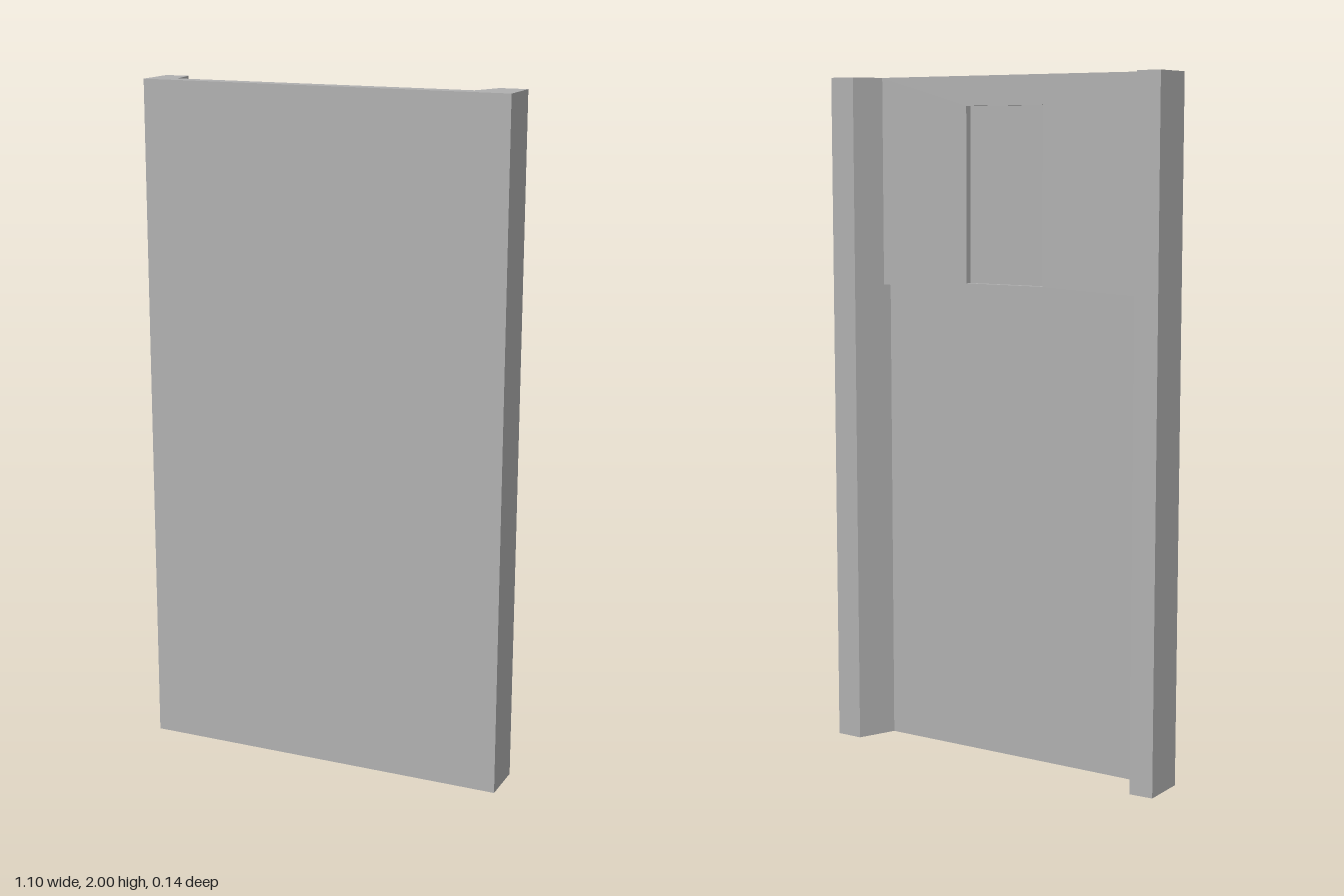
import * as THREE from 'three';

const HEIGHT = 2;
const STEP_Y = 1.39; // lower edge of the thicker upper panel

const polygon = (points) => new THREE.Shape(points.map(([x, y]) => new THREE.Vector2(x, y)));

export function createModel() {
  const group = new THREE.Group();
  const grey = new THREE.MeshStandardMaterial({ color: 0xb0b0b0 });
  grey.name = 'concrete grey';

  const add = (name, geometry) => {
    const mesh = new THREE.Mesh(geometry, grey);
    mesh.name = name;
    group.add(mesh);
  };

  // Full-height slab with two unequal edge ribs, extruded upward from its plan [x, -z]
  const plan = polygon([
    [-0.55, -0.068], [0.55, -0.068], [0.55, 0.07], [0.47, 0.07],
    [0.421, -0.041], [-0.461, -0.041], [-0.48, 0.07], [-0.55, 0.066],
  ]);
  const slab = new THREE.ExtrudeGeometry(plan, { depth: HEIGHT, bevelEnabled: false });
  slab.rotateX(-Math.PI / 2);
  add('ribbedSlab', slab);

  // Thicker upper panel on the back, with a rectangular recess
  const panel = polygon([[-0.465, STEP_Y], [0.43, STEP_Y], [0.43, HEIGHT], [-0.465, HEIGHT]]);
  panel.holes.push(polygon([[-0.13, 1.405], [-0.13, 1.915], [0.13, 1.915], [0.13, 1.405]]));
  const upper = new THREE.ExtrudeGeometry(panel, { depth: 0.021, bevelEnabled: false });
  upper.translate(0, 0, 0.02);
  add('upperBackPanel', upper);

  return group;
}
